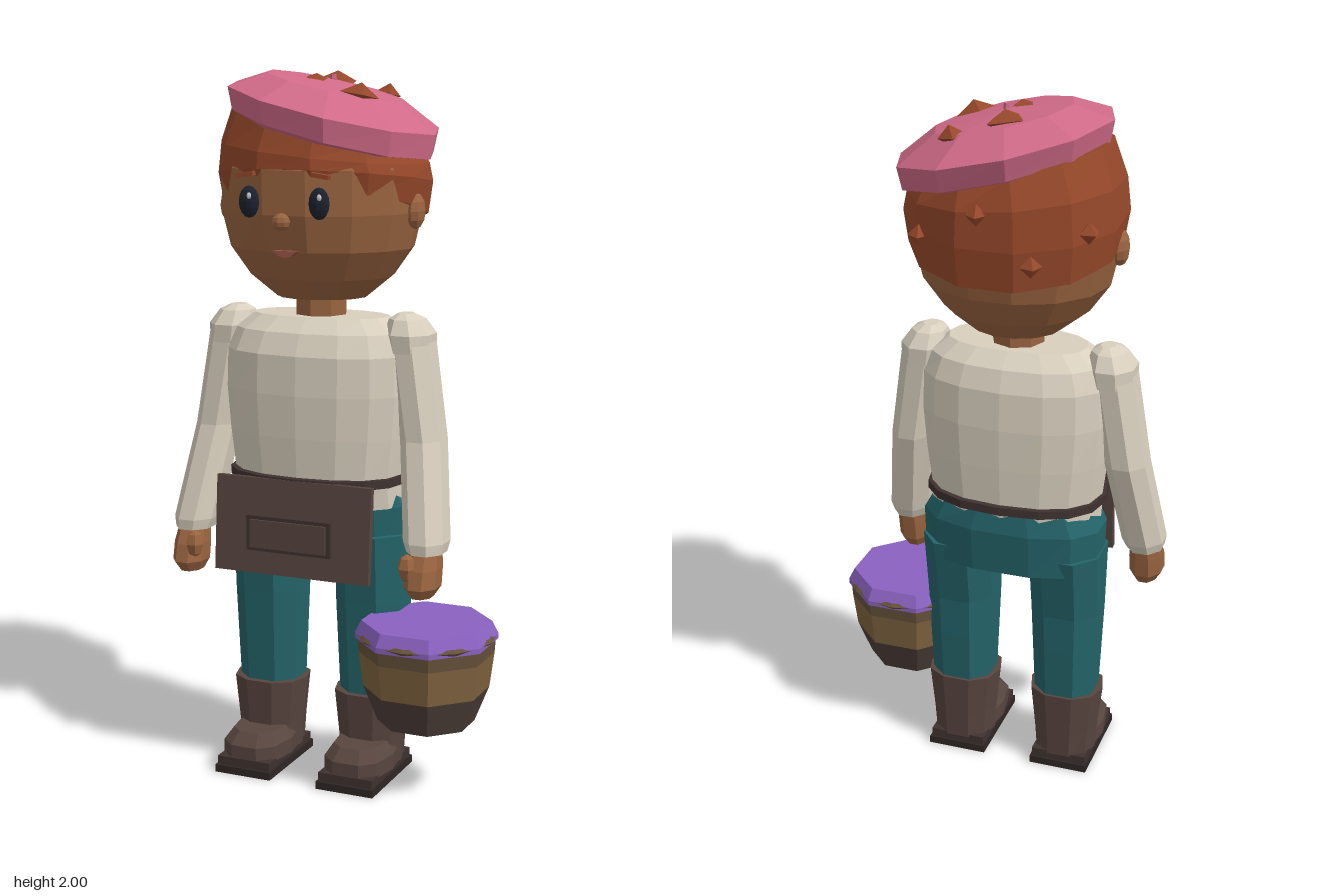
import * as THREE from 'three';

const SKIN = 0x9a6440, HAIR = 0x96482a, PINK = 0xd06a88, SHIRT = 0xd8cfbe, TEAL = 0x24646a;
const LEATHER = 0x58453f, DARK = 0x3f3230, SOLE = 0x2e2624, PURPLE = 0x8a62c0, EYE = 0x1c2230;

const mats = {};
const mat = (color) => (mats[color] ??= new THREE.MeshStandardMaterial({ color, flatShading: true }));

function add(parent, name, geo, color, x = 0, y = 0, z = 0) {
  const mesh = new THREE.Mesh(geo, mat(color));
  mesh.name = name;
  mesh.position.set(x, y, z);
  parent.add(mesh);
  return mesh;
}

// Capped solid through horizontal rings, bottom to top.
// Ring: [cx, cy, cz, rx, rz, slopeZ, slopeX]; power < 1 squares the outline.
function loft(rings, n, { phase = 0, power = 1 } = {}) {
  const pos = [], idx = [];
  const bend = (v) => Math.sign(v) * Math.abs(v) ** power;
  for (const [cx, cy, cz, rx, rz, sz = 0, sx = 0] of rings) {
    for (let i = 0; i < n; i++) {
      const a = ((i + phase) / n) * Math.PI * 2;
      const dx = rx * bend(Math.sin(a)), dz = rz * bend(Math.cos(a));
      pos.push(cx + dx, cy + sz * dz + sx * dx, cz + dz);
    }
  }
  const last = (rings.length - 1) * n, c = rings.length * n;
  for (const r of [rings[0], rings[rings.length - 1]]) pos.push(r[0], r[1], r[2]);
  for (let i = 0; i < n; i++) {
    const j = (i + 1) % n;
    for (let k = 0; k < last; k += n) idx.push(k + i, k + j, k + n + j, k + i, k + n + j, k + n + i);
    idx.push(c, j, i, c + 1, last + i, last + j);
  }
  const g = new THREE.BufferGeometry();
  g.setAttribute('position', new THREE.Float32BufferAttribute(pos, 3));
  g.setIndex(idx);
  g.computeVertexNormals();
  return g;
}

function ball(parent, name, color, [x, y, z], [sx, sy, sz], w = 8, h = 6) {
  const m = add(parent, name, new THREE.SphereGeometry(1, w, h), color, x, y, z);
  m.scale.set(sx, sy, sz);
  return m;
}

function nugget(parent, name, [x, y, z], r, h, turn) {
  const m = add(parent, name, new THREE.OctahedronGeometry(1), HAIR, x, y, z);
  m.scale.set(r, h, r);
  m.rotation.y = turn;
  return m;
}

function buildHead(p) {
  add(p, 'neck', new THREE.CylinderGeometry(0.075, 0.075, 0.12, 8), SKIN, 0, 1.36, 0.01);
  add(p, 'head', loft([
    [0, 1.38, 0, 0.13, 0.12], [0, 1.44, 0, 0.205, 0.185], [0, 1.52, 0, 0.262, 0.235],
    [0, 1.62, 0, 0.285, 0.26], [0, 1.74, 0, 0.285, 0.26], [0, 1.83, 0, 0.24, 0.21],
  ], 14, { phase: 0.5 }), SKIN);
  // Cap of hair, low at the nape, trimmed under the beret
  add(p, 'hair', loft([
    [0, 1.63, -0.015, 0.294, 0.262, 0.245], [0, 1.71, -0.015, 0.306, 0.277, 0.12],
    [0, 1.78, -0.015, 0.295, 0.275, 0, -0.1], [0.01, 1.85, -0.01, 0.265, 0.25, 0, -0.25],
  ], 12, { phase: 0.5 }), HAIR);
  for (const [x, y, z] of [[-0.25, 1.72, -0.18], [0.02, 1.77, -0.28], [0.2, 1.68, -0.22], [-0.12, 1.64, -0.26]])
    nugget(p, 'hairTuft', [x, y, z], 0.03, 0.03, x * 9);

  for (const s of [-1, 1]) {
    ball(p, 'ear', SKIN, [s * 0.283, 1.625, 0.01], [0.025, 0.05, 0.04]);
    ball(p, 'eye', EYE, [s * 0.103, 1.655, 0.25], [0.03, 0.043, 0.02], 12, 8);
    ball(p, 'eyeGlint', 0xe8e8e8, [s * 0.103 + 0.008, 1.672, 0.267], [0.007, 0.009, 0.005]);
    const brow = add(p, 'eyebrow', new THREE.BoxGeometry(0.05, 0.012, 0.02), HAIR, s * 0.11, 1.728, 0.255);
    brow.rotation.z = -s * 0.15;
  }
  ball(p, 'nose', SKIN, [0, 1.605, 0.268], [0.026, 0.024, 0.024]);
  const smile = new THREE.Shape().moveTo(-0.036, 0.006).quadraticCurveTo(0, -0.032, 0.036, 0.006);
  add(p, 'mouth', new THREE.ExtrudeGeometry(smile, { depth: 0.02, bevelEnabled: false, curveSegments: 4 }),
    0x9c5548, 0, 1.52, 0.228);
}

function buildBeret(p) {
  const beret = new THREE.Group();
  beret.name = 'beret';
  p.add(beret);
  add(beret, 'beretBody', loft([
    [-0.055, 1.83, 0, 0.25, 0.25, 0, -0.26], [-0.035, 1.837, 0, 0.285, 0.28, 0, -0.26],
    [-0.035, 1.9, -0.005, 0.297, 0.297, 0, -0.24], [-0.03, 1.958, 0, 0.19, 0.185, 0, -0.23],
    [-0.035, 1.975, 0, 0.012, 0.012, 0, -0.23],
  ], 10, { phase: 0.5 }), PINK);
  add(beret, 'beretButton', new THREE.CylinderGeometry(0.008, 0.01, 0.02, 6), PINK, -0.037, 1.98, 0);
  for (const [x, y, z, r, h] of [[-0.07, 1.97, -0.1, 0.066, 0.03], [0.06, 1.935, -0.16, 0.036, 0.03],
    [-0.07, 1.975, 0.04, 0.045, 0.018], [0.08, 1.935, 0.09, 0.056, 0.034]])
    nugget(beret, 'beretNugget', [x, y, z], r, h, x * 8).rotation.z = -0.2;
}

function buildBody(p) {
  add(p, 'shirt', loft([
    [0, 0.8, 0.01, 0.25, 0.15], [0, 0.88, 0.015, 0.25, 0.165], [0, 1.0, 0.015, 0.265, 0.172],
    [0, 1.12, 0.015, 0.275, 0.175], [0, 1.23, 0.015, 0.272, 0.17], [0, 1.29, 0.012, 0.25, 0.145],
    [0, 1.33, 0.01, 0.2, 0.1],
  ], 16, { power: 0.85 }), SHIRT);
  add(p, 'belt', loft([[0, 0.866, 0.018, 0.262, 0.186], [0, 0.89, 0.018, 0.262, 0.186]],
    16, { power: 0.85 }), DARK);
  // Pouch panel and raised pocket
  const panel = add(p, 'apronPanel', new THREE.BoxGeometry(0.47, 0.27, 0.02), LEATHER, 0, 0.75, 0.205);
  panel.rotation.x = -0.08;
  add(p, 'apronPocketEdge', new THREE.BoxGeometry(0.255, 0.1, 0.012), DARK, 0, 0.735, 0.234);
  add(p, 'apronPocket', new THREE.BoxGeometry(0.23, 0.08, 0.018), LEATHER, 0, 0.735, 0.237);
  // Hips: wide flat seat, ring count differs from the shirt so its hem shows through
  add(p, 'trouserSeat', loft([
    [0, 0.67, -0.012, 0.265, 0.135], [0, 0.8, -0.01, 0.268, 0.148], [0, 0.86, 0, 0.235, 0.148],
  ], 12, { power: 0.85, phase: 0.5 }), TEAL);
}

function buildArm(p, s) {
  const arm = new THREE.Group();
  arm.name = s > 0 ? 'leftArm' : 'rightArm';
  p.add(arm);
  add(arm, 'sleeve', loft([
    [s * 0.36, 0.7, 0.105, 0.055, 0.068], [s * 0.357, 0.73, 0.098, 0.064, 0.078],
    [s * 0.318, 1.0, 0.025, 0.064, 0.08], [s * 0.275, 1.27, 0.012, 0.066, 0.08],
  ], 8, { phase: 0.5 }), SHIRT);
  add(arm, 'shoulder', loft([
    [s * 0.275, 1.24, 0.012, 0.066, 0.082], [s * 0.27, 1.29, 0.012, 0.072, 0.085],
    [s * 0.262, 1.33, 0.012, 0.05, 0.058], [s * 0.258, 1.345, 0.012, 0.022, 0.028],
  ], 8, { phase: 0.5 }), SHIRT);
  add(arm, 'hand', loft([
    [s * 0.358, 0.58, 0.135, 0.032, 0.045], [s * 0.36, 0.61, 0.135, 0.05, 0.068],
    [s * 0.36, 0.66, 0.125, 0.05, 0.065], [s * 0.36, 0.72, 0.105, 0.042, 0.052],
  ], 8, { phase: 0.5 }), SKIN);
  ball(arm, 'thumb', SKIN, [s * 0.328, 0.665, 0.172], [0.027, 0.04, 0.03], 6, 4);
}

function buildLeg(p, s) {
  const x = s * 0.16;
  const leg = new THREE.Group();
  leg.name = s > 0 ? 'leftLeg' : 'rightLeg';
  p.add(leg);
  add(leg, 'trouserLeg', loft([
    [x, 0.2, 0.005, 0.092, 0.085], [x, 0.4, 0.005, 0.1, 0.097], [x, 0.52, 0.005, 0.105, 0.102],
    [x, 0.72, -0.005, 0.11, 0.128],
  ], 8, { phase: 0.5, power: 0.85 }), TEAL);
  add(leg, 'bootShaft', loft([
    [x, 0.04, 0.01, 0.09, 0.088], [x, 0.12, 0.01, 0.096, 0.092], [x, 0.25, 0.01, 0.11, 0.1],
  ], 10, { phase: 0.5, power: 0.85 }), LEATHER);
  add(leg, 'bootToe', loft([
    [x, 0.04, 0.085, 0.095, 0.13], [x, 0.085, 0.085, 0.095, 0.13], [x, 0.118, 0.08, 0.072, 0.1],
  ], 10, { phase: 0.5, power: 0.75 }), LEATHER);
  add(leg, 'bootSole', new THREE.BoxGeometry(0.175, 0.022, 0.3), SOLE, x, 0.011, 0.07);
  add(leg, 'bootWelt', new THREE.BoxGeometry(0.165, 0.025, 0.285), DARK, x, 0.035, 0.07);
}

// Eight-sided bucket in stacked colour bands with a closed lid
function buildBasket(p) {
  const basket = new THREE.Group();
  basket.name = 'basket';
  basket.position.set(0.29, 0, 0.1);
  p.add(basket);
  const band = (name, color, ...rings) =>
    add(basket, name, loft(rings.map(([y, r]) => [0, y, 0, r, r]), 8, { phase: 0.5 }), color);
  band('basketBase', 0x4f403a, [0.21, 0.137], [0.31, 0.177]);
  band('basketMiddle', 0x80633f, [0.31, 0.177], [0.41, 0.19]);
  band('basketTop', 0x66513a, [0.41, 0.19], [0.455, 0.193]);
  band('basketLid', PURPLE, [0.45, 0.2], [0.465, 0.2], [0.5, 0.182]);
  const rim = add(basket, 'basketRim', new THREE.TorusGeometry(0.186, 0.009, 4, 16), 0x66513a, 0, 0.462, 0);
  rim.rotation.x = Math.PI / 2;
}

export function createModel() {
  const model = new THREE.Group();
  model.name = 'villager';
  const person = new THREE.Group();
  person.name = 'person';
  person.position.x = -0.07;
  model.add(person);
  buildHead(person);
  buildBody(person);
  for (const s of [-1, 1]) {
    buildArm(person, s);
    buildLeg(person, s);
  }
  buildBeret(model);
  buildBasket(model);
  return model;
}
